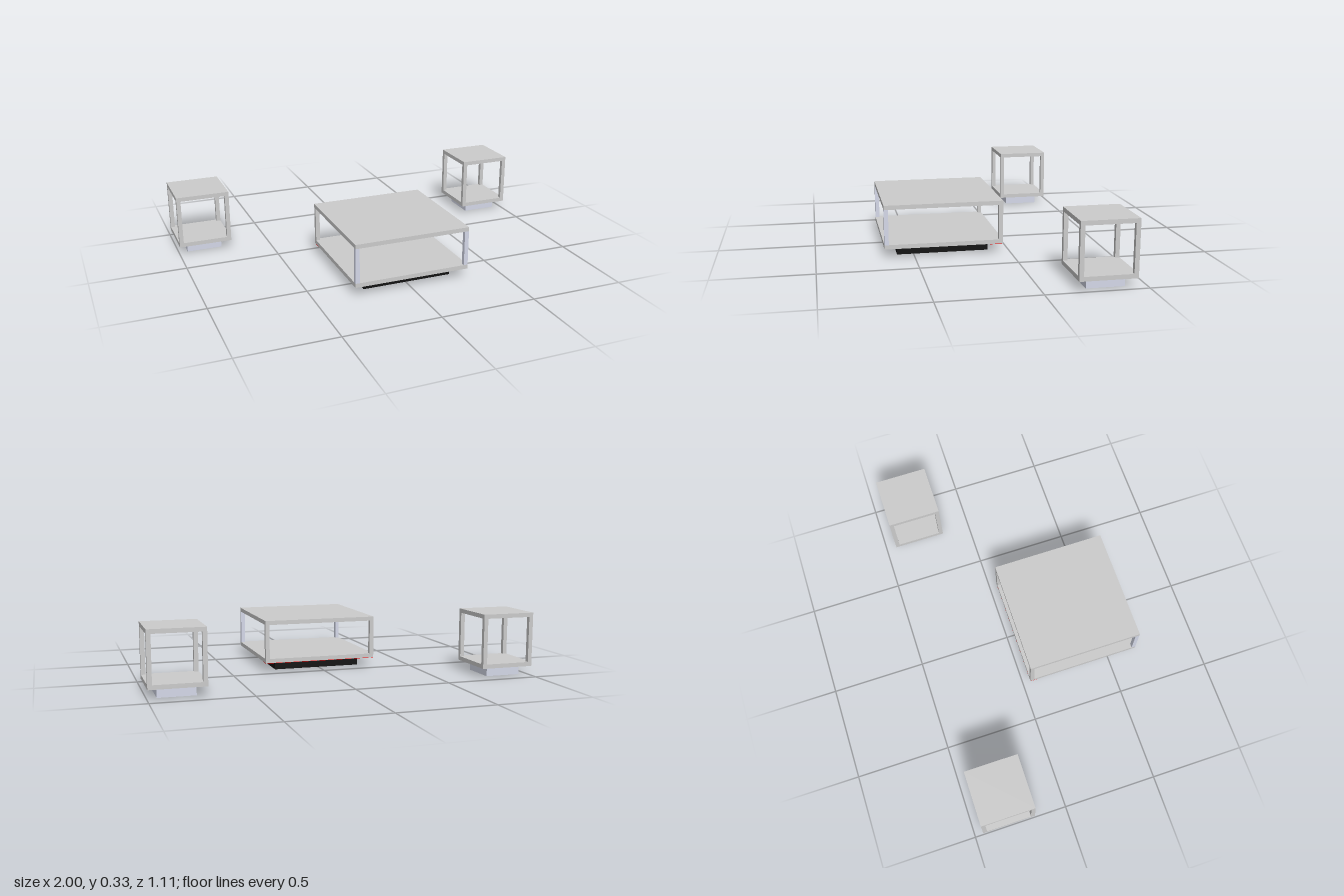
import * as THREE from 'three';

const grey = new THREE.MeshStandardMaterial({ color: 0xcccccc });
const steel = new THREE.MeshStandardMaterial({ color: 0xd4d8e8 });
const black = new THREE.MeshStandardMaterial({ color: 0x111111 });
const red = new THREE.MeshStandardMaterial({ color: 0xff0000 });

const T = 0.022;      // board and post thickness
const BASE_H = 0.05;  // plinth height

function box(parent, name, size, pos, material = grey) {
  const mesh = new THREE.Mesh(new THREE.BoxGeometry(...size), material);
  mesh.name = name;
  mesh.position.set(...pos);
  parent.add(mesh);
  return mesh;
}

// Open cube table: two boards joined by four corner posts
function tableFrame(name, width, top, frontPostMaterial) {
  const table = new THREE.Group();
  table.name = name;
  box(table, 'tableTop', [width, T, width], [0, top - T / 2, 0]);
  box(table, 'lowerShelf', [width, T, width], [0, BASE_H + T / 2, 0]);
  const postH = top - BASE_H - 2 * T;
  const o = (width - T) / 2;
  for (const sx of [-1, 1]) {
    for (const sz of [-1, 1]) {
      box(table, sz > 0 ? 'frontPost' : 'backPost', [T, postH, T],
        [sx * o, BASE_H + T + postH / 2, sz * o], sz > 0 ? frontPostMaterial : grey);
    }
  }
  return table;
}

// Square plinth, open underneath
function hollowPlinth(width, wall) {
  const h = width / 2, i = h - wall;
  const square = (P, r) => {
    const p = new P();
    p.moveTo(-r, -r);
    p.lineTo(r, -r);
    p.lineTo(r, r);
    p.lineTo(-r, r);
    p.closePath();
    return p;
  };
  const shape = square(THREE.Shape, h);
  shape.holes.push(square(THREE.Path, i));
  const geo = new THREE.ExtrudeGeometry(shape, { depth: BASE_H, bevelEnabled: false });
  geo.rotateX(-Math.PI / 2);
  const mesh = new THREE.Mesh(geo, steel);
  mesh.name = 'plinth';
  return mesh;
}

export function createModel() {
  const model = new THREE.Group();
  model.name = 'tableSet';

  // Low coffee table with solid dark plinth
  const coffee = tableFrame('coffeeTable', 0.615, 0.278, steel);
  coffee.position.set(0.008, 0, 0.347);
  box(coffee, 'plinth', [0.476, BASE_H, 0.476], [0, BASE_H / 2, 0], black);
  // Coloured strip under the back margin of the shelf
  box(coffee, 'undersideStrip', [0.615, 0.002, 0.068], [0, BASE_H - 0.001, -0.2735], red);
  model.add(coffee);

  // Pair of side tables
  for (const [name, x, z] of [['rightSideTable', -0.858, -0.313], ['leftSideTable', 0.857, -0.302]]) {
    const side = tableFrame(name, 0.283, 0.333, grey);
    side.add(hollowPlinth(0.188, 0.03));
    side.position.set(x, 0, z);
    model.add(side);
  }
  return model;
}
